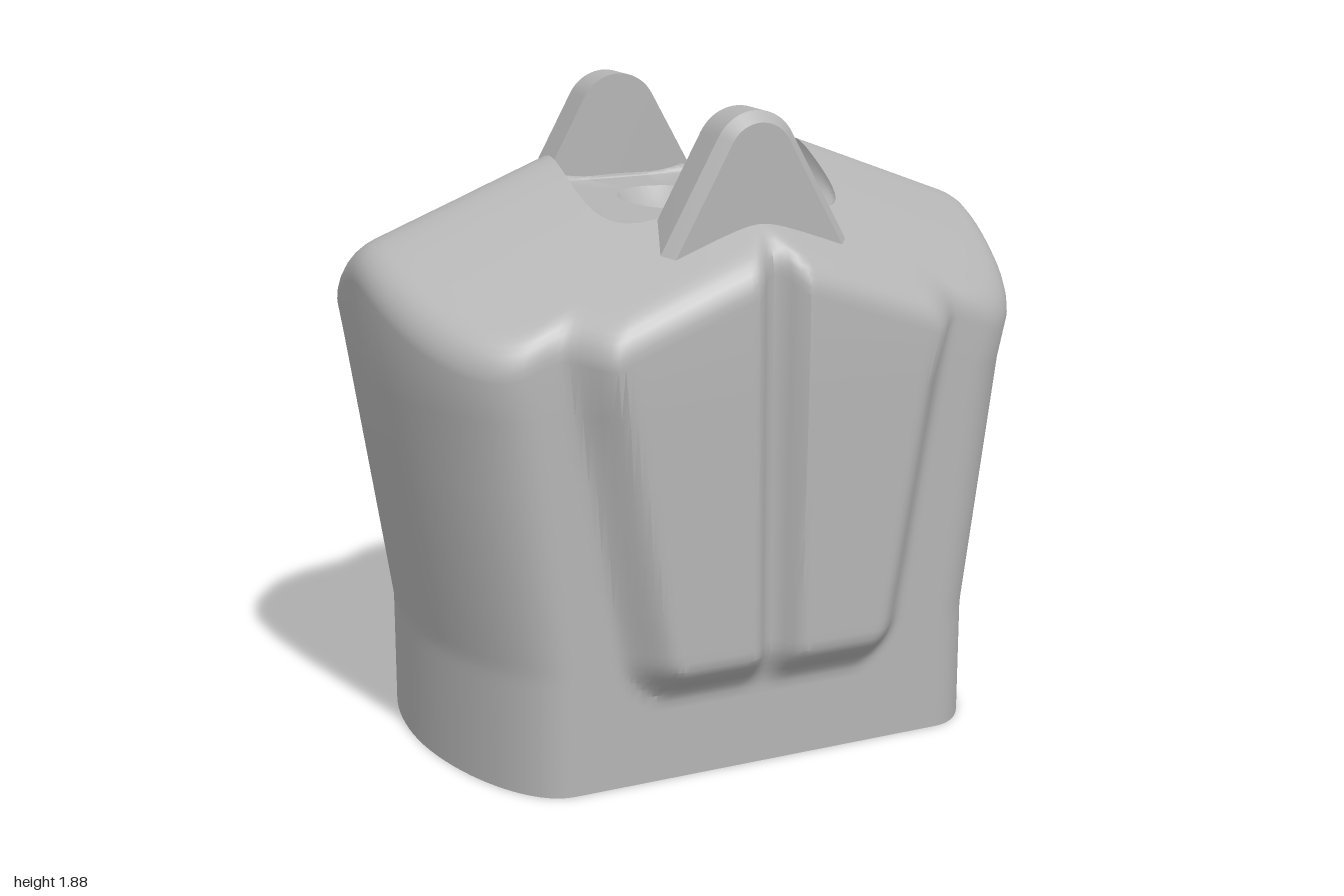
import * as THREE from 'three';
import { toCreasedNormals } from 'three/addons/utils/BufferGeometryUtils.js';

const { clamp, lerp, smoothstep } = THREE.MathUtils;

// Skin a list of closed rings (each an array of [x, y, z])
function loft(rings) {
  const n = rings[0].length, index = [];
  for (let r = 0; r < rings.length - 1; r++) {
    for (let j = 0; j < n; j++) {
      const a = r * n + j, b = r * n + (j + 1) % n;
      index.push(a, b, b + n, a, b + n, a + n);
    }
  }
  const geo = new THREE.BufferGeometry();
  geo.setAttribute('position', new THREE.Float32BufferAttribute(rings.flat(2), 3));
  geo.setIndex(index);
  return toCreasedNormals(geo, 0.55);
}

// Four-sided roof with softened ridges
const soft = v => Math.sqrt(v * v + 0.0036);
const roof = (x, z) => 1.905 - 0.385 * soft(x) - 0.565 * soft(z);

// Sides are straight at the foot, then flare out
const flare = y => lerp(0.845, 1, clamp((y - 0.35) / 0.95, 0, 1));
const groove = (x, half) => Math.abs(x) < half ? 0.5 + 0.5 * Math.cos(Math.PI * x / half) : 0;

// Raised front panel with rounded lower corners
function frontPanel(x, y) {
  const dx = 0.455 + 0.175 * (y - 0.35) - Math.abs(x), dy = y - 0.23, r = 0.16;
  const d = dx < r && dy < r ? r - Math.hypot(r - dx, r - dy) : Math.min(dx, dy);
  return smoothstep(d, 0, 0.14);
}

// Columns around the body: front, +x side, back, -x side
function bodyColumns() {
  const cols = [], base = 0.578, steps = 70;
  const side = new THREE.CubicBezierCurve(
    new THREE.Vector2(0.7, base), new THREE.Vector2(0.87, base),
    new THREE.Vector2(1, 0.27), new THREE.Vector2(1, 0));
  const quarter = side.getPoints(18);
  const half = [...quarter, ...quarter.slice(0, -1).reverse().map(p => new THREE.Vector2(p.x, -p.y))];
  for (let i = 0; i < steps; i++) {
    const u = lerp(-0.7, 0.7, i / steps);
    cols.push(y => {
      const x = u * flare(y);
      return [x, y, base + 0.112 * frontPanel(x, y) * (1 - 0.62 * groove(x, 0.085))];
    });
  }
  half.slice(0, -1).forEach(p => cols.push(y => [p.x * flare(y), y, p.y]));
  for (let i = 0; i < steps; i++) {
    const u = lerp(0.7, -0.7, i / steps);
    const z = -base - 0.112 * (1 - smoothstep(Math.abs(u), 0.4, 0.6)) + 0.045 * groove(u, 0.12);
    cols.push(y => [u * flare(y), y, z]);
  }
  half.slice(0, -1).forEach(p => cols.push(y => [-p.x * flare(y), y, -p.y]));
  return cols;
}

// Point on a superellipse in the direction of p
function onOval(p, a, b, n) {
  const l = Math.hypot(p[0], p[2]), c = p[0] / l, s = p[2] / l;
  const r = (Math.abs(c / a) ** n + Math.abs(s / b) ** n) ** (-1 / n);
  return [c * r, s * r];
}

function bodyGeometry() {
  const cols = bodyColumns(), floorY = 1.565, edge = 0.08;
  const rows = [0];
  for (let y = 0.16; y < 0.55; y += 0.025) rows.push(y);
  rows.push(0.7, 0.9, 1.1);
  const lines = cols.map(col => {
    const line = [[0, 0, 0], ...rows.map(col)];
    const top = col(1.35), len = Math.hypot(top[0], top[2]);
    const yTop = roof(top[0], top[2]);
    // Rounded edge between wall and roof
    const k = 1 - edge / len, inner = [top[0] * k, top[2] * k];
    const innerY = roof(...inner);
    for (let i = 0; i <= 6; i++) {
      const t = i / 6, f = t * t;
      line.push([
        lerp(top[0], inner[0], f),
        (1 - t) ** 2 * (yTop - edge) + 2 * t * (1 - t) * yTop + f * innerY,
        lerp(top[2], inner[1], f)]);
    }
    // Roof slopes in to the pocket rim
    const rim = onOval(top, 0.4, 0.4, 4.5);
    for (let i = 1; i <= 10; i++) {
      const x = lerp(inner[0], rim[0], i / 10), z = lerp(inner[1], rim[1], i / 10);
      line.push([x, roof(x, z), z]);
    }
    // Curved pocket wall and flat floor
    const floor = onOval(top, 0.27, 0.39, 5), h = roof(...rim) - floorY;
    for (let i = 1; i <= 8; i++) {
      const a = i / 8 * Math.PI / 2, t = 1 - Math.cos(a);
      line.push([lerp(rim[0], floor[0], t), floorY + h * (1 - Math.sin(a)), lerp(rim[1], floor[1], t)]);
    }
    // Oval dimple in the floor
    const dimple = onOval(top, 0.16, 0.215, 2);
    for (let i = 0; i <= 8; i++) {
      const t = 1 - i / 8;
      line.push([dimple[0] * t, floorY - 0.11 * (1 - t * t), dimple[1] * t]);
    }
    return line;
  });
  return loft(lines[0].map((_, r) => lines.map(line => line[r])));
}

// Round-topped triangular lug, chamfered on its outer face
function lugGeometry() {
  const tilt = 0.51, cy = 1.755, foot = 1.4;
  const outline = (R, z) => {
    const pts = [];
    for (let i = 0; i <= 20; i++) {
      const a = lerp(tilt, Math.PI - tilt, i / 20);
      pts.push([R * Math.cos(a), cy + R * Math.sin(a), z]);
    }
    const fx = pts[0][0] + (pts[0][1] - foot) * Math.tan(tilt);
    return [[fx, foot, z], ...pts, [-fx, foot, z]];
  };
  const back = outline(0.13, 0.395), front = outline(0.1, 0.54);
  const centre = (ring, z) => ring.map(() => [0, 1.6, z]);
  return loft([centre(back, 0.395), back, outline(0.13, 0.505), front, centre(front, 0.54)]);
}

export function createModel() {
  const grey = new THREE.MeshStandardMaterial({ color: 0xb4b4b4 });
  grey.name = 'grey';
  const model = new THREE.Group();
  model.name = 'lugged block';

  const body = new THREE.Mesh(bodyGeometry(), grey);
  body.name = 'body';
  model.add(body);

  const lug = lugGeometry();
  ['frontLug', 'backLug'].forEach((name, i) => {
    const mesh = new THREE.Mesh(lug, grey);
    mesh.name = name;
    mesh.rotation.y = i * Math.PI;
    model.add(mesh);
  });
  return model;
}
